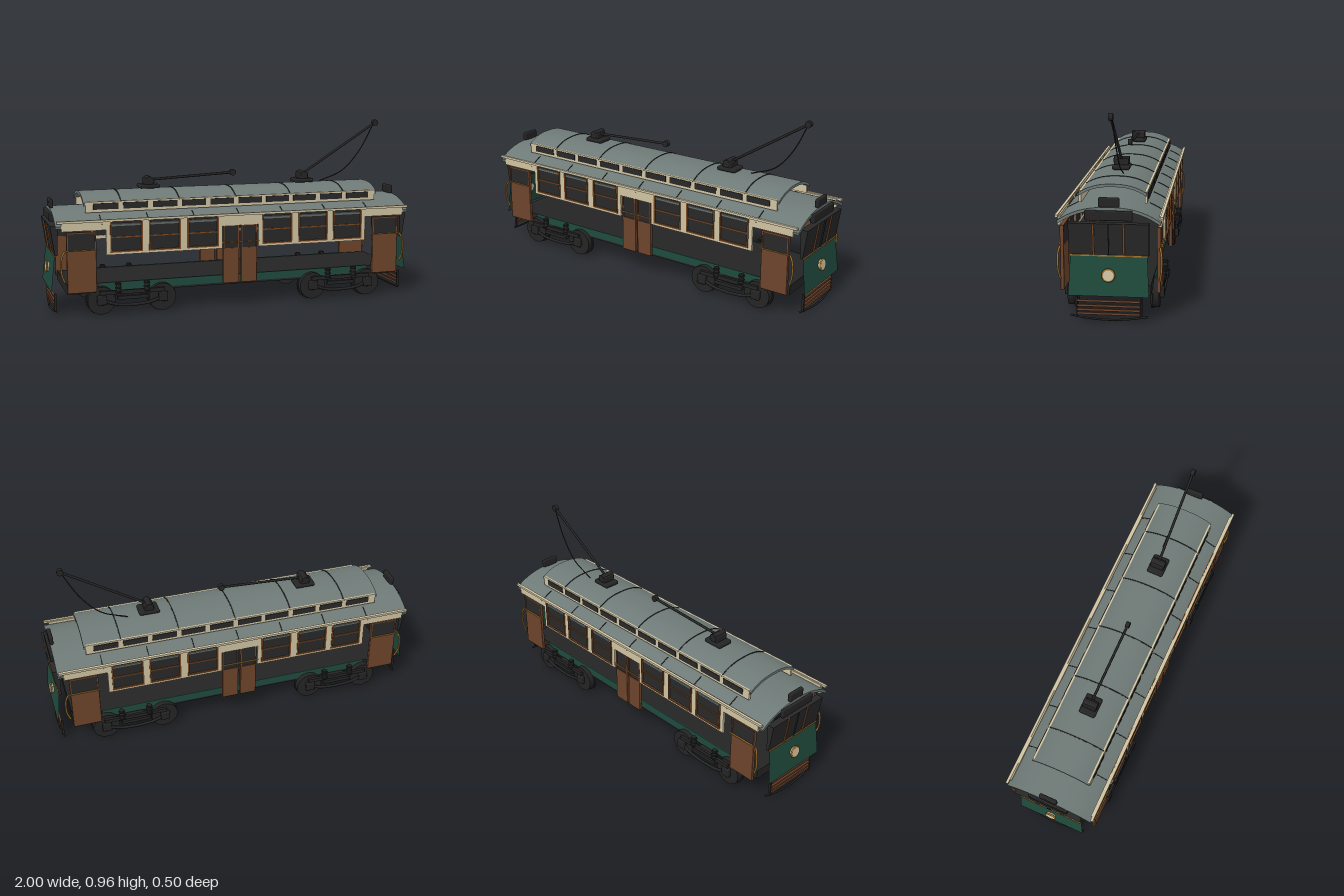
import * as THREE from 'three';
import { toCreasedNormals } from 'three/addons/utils/BufferGeometryUtils.js';
import { RoundedBoxGeometry } from 'three/addons/geometries/RoundedBoxGeometry.js';

const mat = (name, color, side = THREE.FrontSide) => {
  const m = new THREE.MeshStandardMaterial({ color, side });
  m.name = name;
  return m;
};

export function createModel() {
  const roofGrey = mat('roof grey', 0x6e7a77), cream = mat('cream', 0xd0c3a2);
  const wood = mat('brown wood', 0x6d442b), trim = mat('window trim', 0x7c4a24);
  const green = mat('dark green', 0x1f4a3d, THREE.DoubleSide), brass = mat('brass', 0xa8762f);
  const dark = mat('dark iron', 0x242424), glass = mat('dark glass', 0x282828);

  const model = new THREE.Group();
  model.name = 'tram';
  const add = (parent, name, geo, m, x = 0, y = 0, z = 0) => {
    const mesh = new THREE.Mesh(geo, m);
    mesh.name = name;
    mesh.position.set(x, y, z);
    parent.add(mesh);
    return mesh;
  };
  const box = (p, name, m, w, h, d, x, y, z) => add(p, name, new THREE.BoxGeometry(w, h, d), m, x, y, z);
  const rbox = (p, name, m, w, h, d, x, y, z, r = 0.006) =>
    add(p, name, new RoundedBoxGeometry(w, h, d, 2, r), m, x, y, z);
  const tube = (p, name, m, pts, r, segs = 16) => add(p, name, new THREE.TubeGeometry(
    new THREE.CatmullRomCurve3(pts.map(a => new THREE.Vector3(...a))), segs, r, 8), m);
  const disc = (p, name, m, r, depth, x, y, z, axis = 'x') => {
    const mesh = add(p, name, new THREE.CylinderGeometry(r, r, depth, 24), m, x, y, z);
    mesh.rotation[axis] = Math.PI / 2;
    return mesh;
  };
  const rectPath = (shape, x, y, w, h) => shape.moveTo(x - w / 2, y - h / 2).lineTo(x + w / 2, y - h / 2)
    .lineTo(x + w / 2, y + h / 2).lineTo(x - w / 2, y + h / 2).closePath();
  const extrude = (shape, depth) => new THREE.ExtrudeGeometry(shape, { depth, bevelEnabled: false });
  // Rectangular frame, centred on its position
  const frame = (p, name, m, w, h, t, d, x, y, z) => {
    const s = rectPath(new THREE.Shape(), 0, 0, w, h);
    s.holes.push(rectPath(new THREE.Path(), 0, 0, w - 2 * t, h - 2 * t));
    return add(p, name, extrude(s, d).translate(0, 0, -d / 2), m, x, y, z);
  };

  // Arched shell running along x, used for both roofs and their seams
  const arch = (name, m, half, yEdge, yTop, thick, length, x, from = -1, to = 1) => {
    const pts = [];
    const n = 28;
    const y = t => yEdge + (yTop - yEdge) * (1 - Math.abs(t) ** 2.5);
    for (let i = 0; i <= n; i++) {
      const t = from + (to - from) * i / n;
      pts.push(new THREE.Vector2(t * half, y(t)));
    }
    for (let i = n; i >= 0; i--) {
      const t = from + (to - from) * i / n;
      pts.push(new THREE.Vector2(t * half * 0.985, y(t) - thick));
    }
    const geo = extrude(new THREE.Shape(pts), length).translate(0, 0, -length / 2).rotateY(Math.PI / 2);
    add(model, name, toCreasedNormals(geo, 0.6), m, x);
  };
  arch('mainRoof', roofGrey, 0.24, 0.478, 0.545, 0.014, 1.94, 0);
  arch('upperRoof', roofGrey, 0.162, 0.578, 0.621, 0.014, 1.63, 0);
  for (let i = -2; i <= 2; i++) arch('upperRoofSeam', dark, 0.163, 0.58, 0.6235, 0.004, 0.006, i * 0.31);
  for (let i = -3; i <= 3; i++) for (const [a, b] of [[-1, -0.7], [0.7, 1]])
    arch('mainRoofSeam', dark, 0.241, 0.48, 0.5475, 0.004, 0.005, i * 0.245, a, b);

  // Floor and sills
  box(model, 'floor', dark, 1.82, 0.05, 0.38, 0, 0.14, 0);
  for (const s of [1, -1]) box(model, 'sill', green, 1.5, 0.042, 0.004, 0, 0.147, s * 0.191);

  // Each side: wall, windows, doors and clerestory
  const bays = [-0.61, -0.41, -0.205, 0.205, 0.41, 0.61];
  for (const turn of [0, Math.PI]) {
    const side = new THREE.Group();
    side.name = turn ? 'backSide' : 'frontSide';
    side.rotation.y = turn;
    model.add(side);
    const wall = new THREE.Shape([[-0.715, 0.32], [-0.1, 0.32], [-0.1, 0.44], [0.1, 0.44], [0.1, 0.32],
      [0.715, 0.32], [0.715, 0.45], [0.94, 0.45], [0.94, 0.5], [-0.94, 0.5], [-0.94, 0.45], [-0.715, 0.45]]
      .map(p => new THREE.Vector2(...p)));
    for (const x of bays) wall.holes.push(rectPath(new THREE.Path(), x, 0.416, 0.155, 0.155));
    add(side, 'sideWall', extrude(wall, 0.012), cream, 0, 0, 0.228);
    box(side, 'gutter', cream, 1.93, 0.012, 0.014, 0, 0.498, 0.242);
    for (const x of bays) {
      box(side, 'windowGlass', glass, 0.157, 0.157, 0.006, x, 0.416, 0.234);
      frame(side, 'windowFrame', trim, 0.168, 0.168, 0.008, 0.016, x, 0.416, 0.237);
      box(side, 'windowBar', trim, 0.155, 0.006, 0.014, x, 0.41, 0.235);
    }
    for (const [x, w, split] of [[-0.05, 0.088, 0.315], [0.05, 0.088, 0.315], [-0.84, 0.15, 0.345], [0.84, 0.15, 0.345]]) {
      rbox(side, 'door', wood, w, split - 0.13, 0.018, x, (split + 0.13) / 2, 0.226, 0.004);
      box(side, 'doorGlass', glass, w - 0.01, 0.44 - split, 0.01, x, (0.44 + split) / 2, 0.226);
      frame(side, 'doorFrame', wood, w, 0.446 - split, 0.007, 0.018, x, (0.44 + split) / 2, 0.226);
      box(side, 'doorRail', brass, w + 0.02, 0.005, 0.006, x, 0.35, 0.24);
    }
    for (const s of [1, -1]) tube(side, 'handrail', brass,
      [[s * 0.925, 0.35, 0.232], [s * 0.942, 0.32, 0.24], [s * 0.944, 0.24, 0.24], [s * 0.928, 0.19, 0.232]], 0.005);
    box(side, 'clerestoryWall', cream, 1.61, 0.055, 0.012, 0, 0.557, 0.156);
    for (let i = 0; i < 10; i++) {
      const x = (i - 4.5) * 0.1555;
      box(side, 'clerestoryWindow', glass, 0.13, 0.032, 0.006, x, 0.56, 0.163);
    }
  }

  // Each end: windscreen, dash, lamp, signs and lifeguard
  for (const turn of [0, Math.PI]) {
    const end = new THREE.Group();
    end.name = turn ? 'rightEnd' : 'leftEnd';
    end.rotation.y = turn;
    model.add(end);
    const screen = new THREE.Shape([[0.956, 0.32], [0.968, 0.32], [0.99, 0.473], [0.952, 0.473]]
      .map(p => new THREE.Vector2(...p)));
    add(end, 'windscreen', extrude(screen, 0.37).translate(0, 0, -0.185), glass);
    for (const z of [-0.07, 0, 0.07]) {
      const bar = box(end, 'windscreenBar', z ? trim : dark, 0.008, 0.152, z ? 0.009 : 0.004, 0.981, 0.397, z);
      bar.rotation.z = -0.143;
    }
    box(end, 'dashTopRail', brass, 0.008, 0.006, 0.36, 0.969, 0.319, 0);

    const dash = new THREE.Group();
    dash.name = 'dash';
    dash.position.set(0.979, 0.225, 0);
    dash.rotation.z = 0.115;
    end.add(dash);
    const panel = new THREE.Shape([[-0.187, -0.095], [0.187, -0.095], [0.178, 0.095], [-0.178, 0.095]]
      .map(p => new THREE.Vector2(...p)));
    add(dash, 'dashPanel', new THREE.ShapeGeometry(panel).rotateY(Math.PI / 2), green);
    disc(dash, 'headlamp', cream, 0.026, 0.02, 0.006, 0.005, 0, 'z');
    add(dash, 'headlampRing', new THREE.TorusGeometry(0.027, 0.005, 8, 28).rotateY(Math.PI / 2), brass, 0.012, 0.005, 0);

    rbox(end, 'destinationBox', dark, 0.024, 0.046, 0.22, 0.972, 0.508, 0);
    rbox(end, 'routeBox', dark, 0.022, 0.046, 0.098, 0.962, 0.567, 0, 0.008);
    box(end, 'routeBoxFoot', dark, 0.014, 0.02, 0.05, 0.96, 0.54, 0);

    for (const y of [0.042, 0.06, 0.08, 0.103]) box(end, 'lifeguardSlat', wood, 0.01, 0.01, 0.29, 0.972, y, 0);
    for (const z of [-0.15, 0.15]) box(end, 'lifeguardPost', dark, 0.012, 0.095, 0.008, 0.967, 0.07, z);
    tube(end, 'lifeguardBar', dark, [[0.96, 0.028, -0.18], [0.972, 0.018, -0.09], [0.978, 0.015, 0],
      [0.972, 0.018, 0.09], [0.96, 0.028, 0.18]], 0.005);
  }

  // Bogies with wheels, axles, side frames and springs
  for (const bx of [-0.58, 0.58]) {
    const bogie = new THREE.Group();
    bogie.name = 'bogie';
    bogie.position.x = bx;
    model.add(bogie);
    for (const wx of [-0.16, 0.16]) {
      disc(bogie, 'axle', dark, 0.014, 0.46, wx, 0.08, 0);
      for (const s of [1, -1]) {
        disc(bogie, 'wheel', dark, 0.072, 0.03, wx, 0.08, s * 0.205);
        disc(bogie, 'wheelFlange', dark, 0.078, 0.01, wx, 0.08, s * 0.185);
        rbox(bogie, 'axleBox', dark, 0.05, 0.05, 0.022, wx, 0.085, s * 0.231);
      }
    }
    for (const s of [1, -1]) {
      box(bogie, 'bogieSideBeam', dark, 0.34, 0.02, 0.014, 0, 0.122, s * 0.228);
      tube(bogie, 'bogieTruss', dark, [[-0.16, 0.085, s * 0.23], [-0.08, 0.058, s * 0.23],
        [0.08, 0.058, s * 0.23], [0.16, 0.085, s * 0.23]], 0.008);
      box(bogie, 'springPlank', dark, 0.16, 0.018, 0.02, 0, 0.092, s * 0.225);
      for (const x of [-0.075, 0.075]) {
        const springs = add(bogie, 'spring', new THREE.CylinderGeometry(0.013, 0.013, 0.06, 12), dark, x, 0.145, s * 0.228);
        for (const y of [-0.02, 0, 0.02])
          add(springs, 'springCoil', new THREE.TorusGeometry(0.014, 0.004, 6, 14).rotateX(Math.PI / 2), dark, 0, y, 0);
      }
    }
    box(bogie, 'bolster', dark, 0.1, 0.03, 0.44, 0, 0.105, 0);
  }

  // Trolley poles, one lowered and one raised, with its rope
  for (const [x, tx, ty] of [[-0.44, 0.03, 0.692], [0.435, 0.875, 0.945]]) {
    rbox(model, 'trolleyBase', dark, 0.11, 0.022, 0.09, x, 0.636, 0, 0.009);
    rbox(model, 'trolleyMount', dark, 0.05, 0.035, 0.075, x, 0.662, 0);
    disc(model, 'trolleyPivot', dark, 0.02, 0.078, x, 0.668, 0);
    tube(model, 'trolleyPole', dark, [[x, 0.668, 0], [tx, ty, 0]], 0.007, 1);
    disc(model, 'trolleyWheel', dark, 0.017, 0.022, tx, ty, 0);
  }
  tube(model, 'trolleyRope', dark, [[0.87, 0.94, -0.005], [0.79, 0.79, -0.014], [0.69, 0.68, -0.02], [0.55, 0.622, -0.022]], 0.003, 24);

  return model;
}
